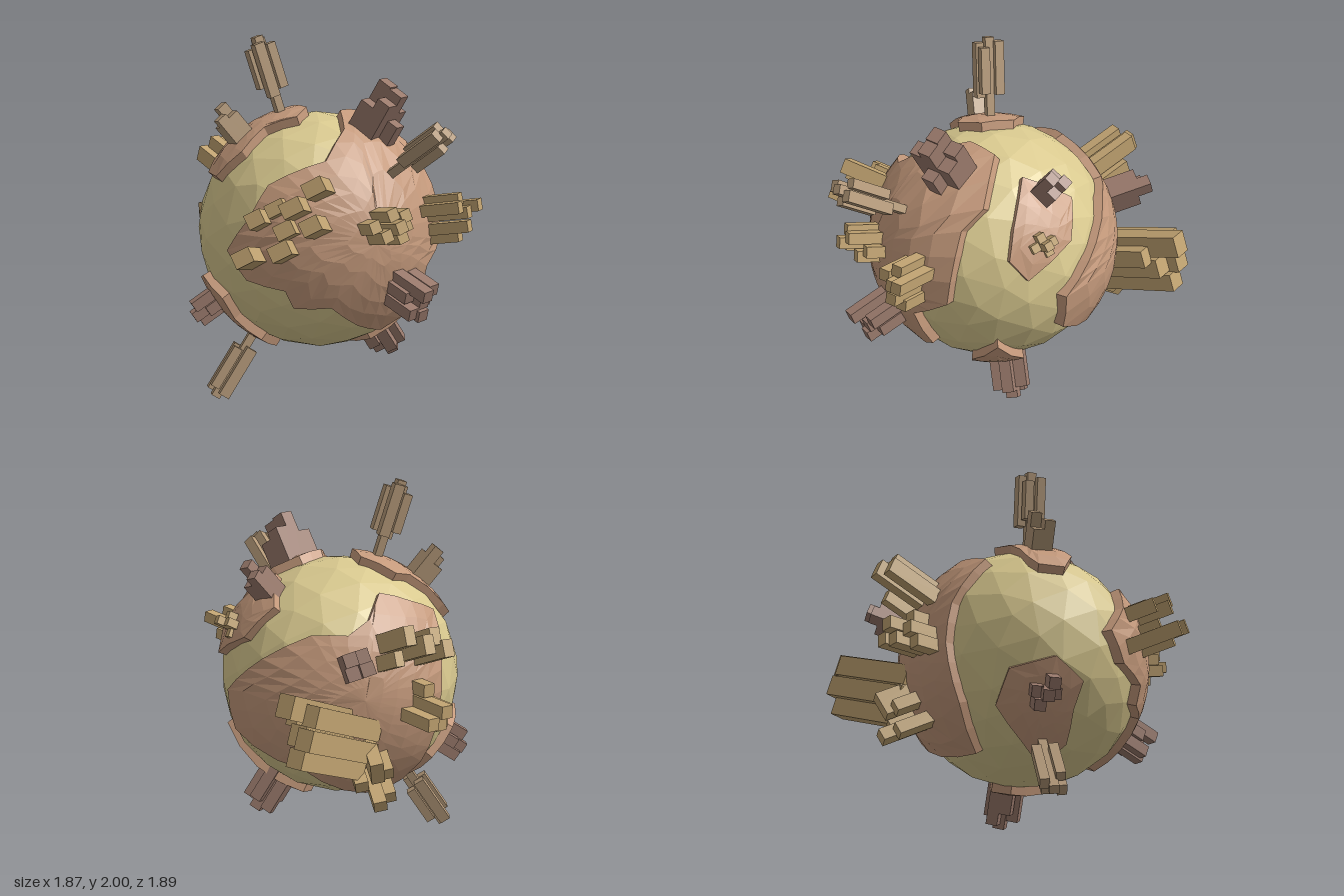
import * as THREE from 'three';

const SEA = 0.655, LAND = 0.695;
const TAN = 0xc2a472, BROWN = 0x9a7a6c, TAUPE = 0xb39878;
const mat = (color) => new THREE.MeshStandardMaterial({ color, flatShading: true });
const V = (a) => new THREE.Vector3(...a);

// Shifts a point sideways on its sphere so that the facets come out uneven
const uneven = (v, r) => v.set(v.x + 0.018 * Math.sin(v.y * 19 + v.z * 7),
  v.y + 0.018 * Math.sin(v.z * 17 + v.x * 9), v.z + 0.018 * Math.sin(v.x * 21 + v.y * 5)).setLength(r);

// Raised plate: rings shrinking from a spherical outline to its middle, plus a bevelled rim
function plate(name, centre, outline, rings) {
  const c = V(centre).normalize();
  const pts = [];
  outline.forEach((p, i) => {
    const a = V(p).normalize(), b = V(outline[(i + 1) % outline.length]).normalize();
    const n = Math.ceil(a.angleTo(b) / 0.24);
    for (let k = 0; k < n; k++) pts.push(a.clone().lerp(b, k / n).normalize());
  });
  const turn = pts.reduce((s, p, i) => s + p.clone().cross(pts[(i + 1) % pts.length]).dot(c), 0);
  if (turn < 0) pts.reverse();
  const at = (p, t, r) => {
    const axis = c.clone().cross(p).normalize();
    return c.clone().applyAxisAngle(axis, c.angleTo(p) * t).multiplyScalar(r);
  };
  const levels = [];
  for (let k = 0; k < rings; k++) levels.push(pts.map((p) => uneven(at(p, 0.96 * k / rings, LAND), LAND)));
  levels.push(pts.map((p) => at(p, 0.96, LAND)), pts.map((p) => at(p, 1, SEA - 0.02)));
  const pos = [];
  const tri = (...v) => v.forEach((p) => pos.push(p.x, p.y, p.z));
  for (let k = 0; k + 1 < levels.length; k++) {
    for (let i = 0; i < pts.length; i++) {
      const j = (i + 1) % pts.length, a = levels[k], b = levels[k + 1];
      tri(a[i], b[i], b[j]);
      if (k) tri(a[i], b[j], a[j]);
    }
  }
  const g = new THREE.BufferGeometry();
  g.setAttribute('position', new THREE.Float32BufferAttribute(pos, 3));
  g.computeVertexNormals();
  const m = new THREE.Mesh(g, mat(0xc59a7c));
  m.name = name;
  return m;
}

// Group of square beams along a direction; beams are [u, v, width, height, inner r, outer r]
function cluster(name, dir, color, beams, twist = 0, origin = [0, 0, 0]) {
  const n = V(dir).normalize();
  const u = new THREE.Vector3(0, 1, 0).cross(n).normalize();
  const g = new THREE.Group();
  g.name = name;
  g.position.set(...origin);
  g.quaternion.setFromRotationMatrix(new THREE.Matrix4().makeBasis(u, n.clone().cross(u), n));
  g.rotateZ(twist);
  for (const [x, y, w, h, r0, r1] of beams) {
    const m = new THREE.Mesh(new THREE.BoxGeometry(w, h, r1 - r0), mat(color));
    m.position.set(x, y, (r0 + r1) / 2);
    m.name = 'beam';
    g.add(m);
  }
  return g;
}

// Bundle of long blocks raised on a thin stem
const stemTower = (name, dir, top, twist) => cluster(name, dir, TAUPE, [
  [0, 0, 0.045, 0.045, 0.6, top - 0.2],
  [-0.045, 0.025, 0.05, 0.06, top - 0.31, top - 0.02],
  [0.04, 0.04, 0.05, 0.05, top - 0.3, top - 0.05],
  [0.045, -0.03, 0.05, 0.06, top - 0.33, top - 0.03],
  [-0.03, -0.045, 0.05, 0.05, top - 0.28, top - 0.06],
  [0, 0, 0.05, 0.05, top - 0.25, top],
], twist);

// Compact block of small beams with stepped ends
function blocks(name, dir, color, top, size, layout, twist) {
  return cluster(name, dir, color, layout.map(([i, j, drop]) =>
    [i * size, j * size, size, size, 0.6, top - drop]), twist);
}

export function createModel() {
  const model = new THREE.Group();
  const globe = new THREE.Group();
  globe.name = 'globe';
  globe.position.set(-0.01, 0.92, 0.015);
  model.add(globe);

  // Faceted sea with slightly uneven vertices
  const seaGeo = new THREE.IcosahedronGeometry(SEA, 3);
  const p = seaGeo.attributes.position, v = new THREE.Vector3();
  for (let i = 0; i < p.count; i++) {
    uneven(v.fromBufferAttribute(p, i), SEA);
    p.setXYZ(i, v.x, v.y, v.z);
  }
  seaGeo.computeVertexNormals();
  const sea = new THREE.Mesh(seaGeo, mat(0xd9c98f));
  sea.name = 'sea';
  globe.add(sea);

  // Land plates
  globe.add(
    plate('leftLand', [0.55, 0.06, 0.33], [[0.13, 0.65, -0.17], [0.13, 0.67, 0], [0.26, 0.6, 0.17],
      [0.29, 0.47, 0.4], [0.05, 0.35, 0.59], [-0.02, 0.18, 0.66], [-0.16, -0.01, 0.67],
      [-0.04, -0.16, 0.67], [0.18, -0.2, 0.63], [0.2, -0.3, 0.58], [0.38, -0.3, 0.49],
      [0.45, -0.44, 0.32], [0.47, -0.5, 0.11], [0.57, -0.37, -0.09], [0.67, -0.14, -0.04],
      [0.64, 0, -0.26], [0.5, 0.39, -0.25], [0.38, 0.49, -0.3]], 5),
    plate('topLand', [-0.2, 0.57, 0.24], [[-0.16, 0.67, -0.02], [0, 0.68, 0.08], [0.03, 0.65, 0.23],
      [-0.12, 0.59, 0.33], [-0.17, 0.47, 0.47], [-0.31, 0.33, 0.53], [-0.43, 0.33, 0.44],
      [-0.44, 0.39, 0.38], [-0.35, 0.57, 0.18], [-0.35, 0.59, 0.06]], 3),
    plate('lowerFrontLand', [-0.33, -0.42, 0.42], [[-0.55, -0.27, 0.33], [-0.4, -0.2, 0.53],
      [-0.23, -0.3, 0.58], [-0.21, -0.44, 0.5], [-0.11, -0.57, 0.37], [-0.12, -0.65, 0.2],
      [-0.3, -0.58, 0.22], [-0.5, -0.43, 0.2]], 3),
    plate('backRightLand', [-0.52, 0.02, -0.4], [[-0.04, 0.21, -0.64], [0.22, 0, -0.64],
      [0.2, -0.22, -0.61], [-0.21, -0.39, -0.52], [-0.33, -0.6, -0.01], [-0.55, -0.4, 0.05],
      [-0.68, -0.1, 0.05], [-0.67, 0.13, 0.08], [-0.5, 0.41, 0.18], [-0.48, 0.48, 0.03],
      [-0.4, 0.54, -0.13], [-0.46, 0.43, -0.27], [-0.43, 0.36, -0.4], [-0.27, 0.35, -0.51]], 5),
    plate('upperBackLand', [0.2, 0.38, -0.52], [[0.155, 0.59, -0.32], [0.36, 0.4, -0.43],
      [0.43, 0.25, -0.46], [0.38, 0.14, -0.55], [0.1, 0.28, -0.61], [-0.03, 0.45, -0.51]], 3),
    plate('bottomLand', [0.25, -0.55, -0.27], [[0.46, -0.27, -0.42], [0.445, -0.46, -0.22],
      [0.29, -0.61, -0.09], [0.07, -0.665, -0.14], [0.03, -0.636, -0.25], [0.23, -0.485, -0.42]], 3),
  );

  // Towers on stems
  globe.add(
    stemTower('topTower', [-0.23, 1.05, 0.23], 1.12, 0.3),
    stemTower('bottomTower', [-0.35, -0.87, 0.46], 1.09, 0.2),
    stemTower('sideTower', [0.85, 0.59, 0.23], 1.15, 0.5),
  );

  // Small stepped block clusters
  const square = [[-0.5, 0.5, 0], [0.5, 0.5, 0.06], [-0.5, -0.5, 0.08], [0.5, -0.5, 0.03]];
  const cross = [[0, 0, 0], [1, 0, 0.04], [-1, 0.2, 0.07], [0, 1, 0.05], [0.3, -1, 0.08]];
  globe.add(
    blocks('topLeftBlocks', [-0.35, 0.66, 0.4], TAUPE, 0.88, 0.06, square, 0.2),
    blocks('highBlocks', [0.44, 0.73, 0], BROWN, 0.97, 0.08, [[-1, 0.6, 0.14], [0, 0.6, 0.02],
      [1, 0.6, 0.1], [-1, -0.4, 0.08], [0, -0.4, 0.03], [1, -0.4, 0.14], [0, -1.2, 0.18]], 0),
    blocks('sideFrontBlocks', [0.72, 0.16, 0.4], TAN, 0.9, 0.062, [[0, 0, 0], [1, 0.6, 0.03],
      [-1, -0.4, 0.06], [0, 1.1, 0.04], [-1.4, 0.6, 0.1], [0.6, -1.1, 0.09], [1.6, -0.5, 0.12]], 0.3),
    blocks('sideBlocks', [0.93, 0.17, -0.08], TAN, 0.96, 0.062,
      [[0, 0.2, 0.04], [1, 0.6, 0], [-1, 0.8, 0.06], [0, 1.4, 0.08], [0, -1, 0.05], [0.3, -1.8, 0.12]], 0),
    blocks('lowSideBlocks', [0.75, -0.25, 0.21], BROWN, 0.92, 0.065, [[0, 0, 0.05], [1, 0.8, 0.06],
      [-1, -0.8, 0.05], [-0.6, 1.2, 0], [-1, 0.4, 0.1], [0.9, -0.4, 0.09], [-0.2, -1, 0.03]], 0.1),
    blocks('lowerFrontBlocks', [-0.44, -0.43, 0.5], BROWN, 0.84, 0.06,
      [[0, 0, 0], [0.5, 1, 0.03], [-0.6, -0.9, 0.02], [0.8, 0, 0.08], [-0.8, 0.1, 0.07]], 0),
    blocks('bottomBlocks', [0.26, -0.7, -0.36], BROWN, 0.9, 0.065,
      [[0, 0, 0], [1, 0.2, 0.06], [-1, 0.3, 0.05], [0, 1, 0.04], [0.4, -1, 0.03], [-0.6, -1, 0.1]], 0.5),
    blocks('upperBackBlocks', [0.12, 0.57, -0.49], BROWN, 0.87, 0.06, square, 0.4),
    blocks('smallBackBlocks', [0.28, 0.33, -0.58], TAN, 0.79, 0.045, cross, 0.3),
    blocks('rightBlocks', [-0.97, -0.04, -0.19], TAN, 0.93, 0.068,
      [[0, 0.4, 0], [-1, -0.5, 0.02], [1, 0, 0.08], [0, 1.5, 0.15], [1.1, -1, 0.12], [0, -0.7, 0.04]], 0),
    blocks('backRightBlocks', [-0.67, 0.27, -0.57], BROWN, 0.92, 0.07, square, 0.3),
    blocks('lowBackBlocks', [-0.67, -0.42, -0.43], TAN, 0.94, 0.07,
      [[0, -1.2, 0], [0.2, 0.6, 0.08], [-1, -0.3, 0.1], [1, 0.2, 0.12], [0.9, -1.6, 0.07], [0.2, 1.6, 0.08]], 0.2),
  );

  // Long beam groups
  globe.add(
    cluster('frontBeams', [0.27, 0.2, 0.75], TAN, [
      [-0.13, 0.08, 0.09, 0.08, 0.6, 0.82], [-0.02, -0.035, 0.1, 0.08, 0.6, 0.8],
      [-0.25, -0.08, 0.1, 0.08, 0.55, 0.91], [0.075, 0.04, 0.11, 0.08, 0.6, 0.88],
      [0.22, 0.08, 0.11, 0.08, 0.55, 0.88], [0.13, -0.09, 0.1, 0.08, 0.6, 0.92],
      [-0.08, -0.125, 0.11, 0.08, 0.6, 0.84], [-0.02, 0.09, 0.1, 0.07, 0.6, 0.77],
    ], 0.5),
    cluster('rightBeams', [-0.87, 0.34, -0.26], TAN, [
      [-0.1, 0.07, 0.06, 0.1, 0.6, 0.95], [-0.03, 0.01, 0.06, 0.1, 0.6, 1.0],
      [0.04, 0.05, 0.06, 0.09, 0.6, 0.96], [0.09, -0.02, 0.06, 0.09, 0.6, 0.98],
      [-0.13, -0.03, 0.05, 0.08, 0.6, 0.86],
    ]),
    cluster('backBeams', [-0.05, 0.35, -0.93], TAN, [
      [0.1, 0.08, 0.09, 0.11, 0.45, 0.98], [0.01, 0.1, 0.1, 0.12, 0.45, 1.08],
      [-0.08, 0.06, 0.07, 0.1, 0.45, 0.9], [0.1, -0.04, 0.1, 0.11, 0.45, 0.99],
      [0, -0.03, 0.1, 0.11, 0.45, 0.93], [0.05, -0.14, 0.1, 0.1, 0.45, 0.96],
    ], 0, [-0.43, -0.38, 0.06]),
  );
  return model;
}
